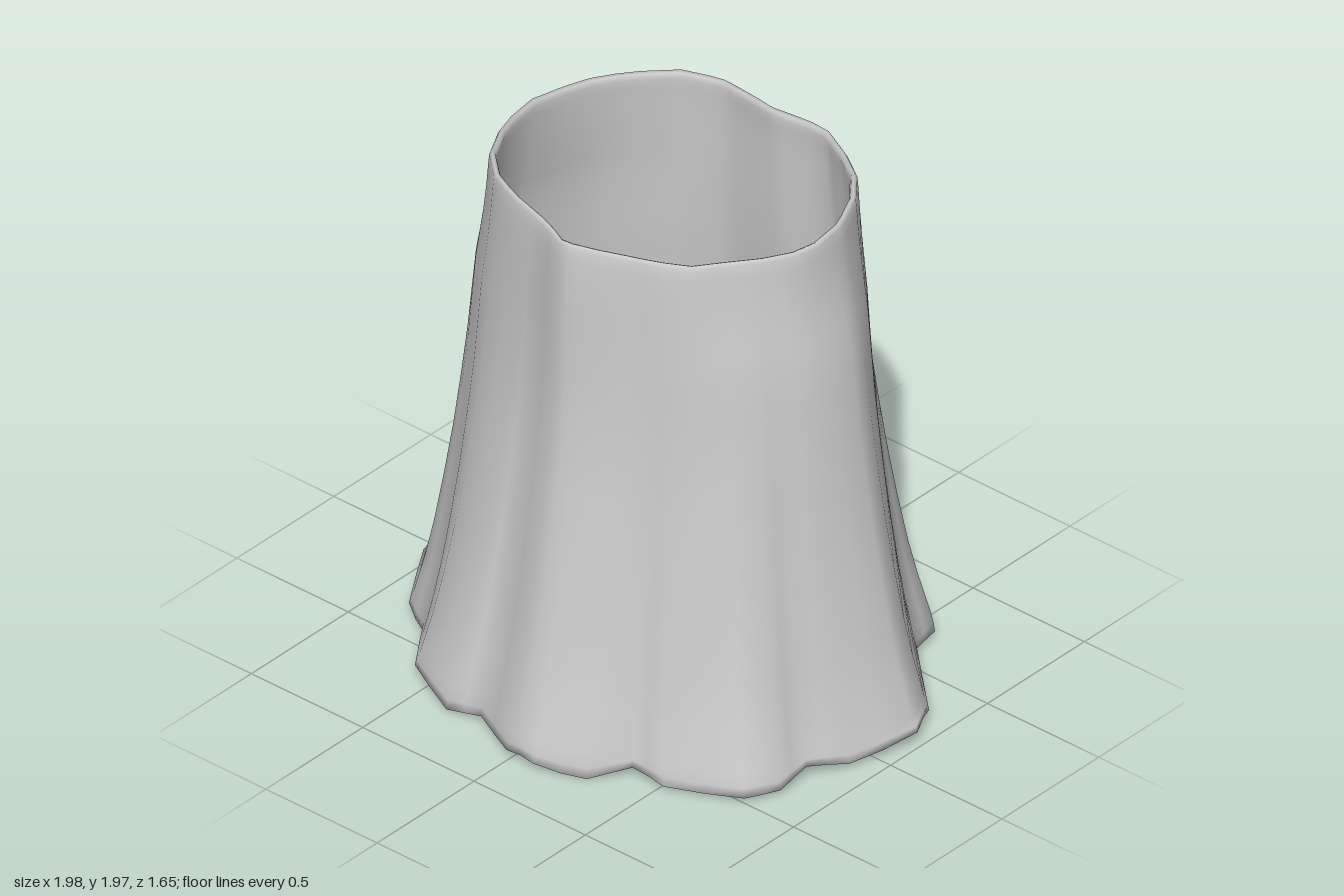
import * as THREE from 'three';

// Outlines as [x, z], running from +x towards the back (-z)
const HEM = [
  [0.99, -0.15], [0.92, -0.29], [0.63, -0.56], [0.59, -0.70], [0.48, -0.74], [0.34, -0.79],
  [0.10, -0.74], [0, -0.80], [-0.25, -0.83], [-0.32, -0.77], [-0.45, -0.69], [-0.57, -0.66],
  [-0.82, -0.53], [-0.90, -0.26], [-0.99, 0.13], [-0.84, 0.37], [-0.71, 0.45], [-0.57, 0.65],
  [-0.35, 0.74], [-0.22, 0.71], [-0.02, 0.81], [0.11, 0.82], [0.28, 0.74], [0.39, 0.63],
  [0.52, 0.62], [0.78, 0.50], [0.84, 0.38], [0.84, 0.25], [0.91, 0.11],
];
const WAIST = [
  [0.665, 0], [0.645, -0.15], [0.59, -0.29], [0.49, -0.42], [0.37, -0.50], [0.24, -0.565],
  [0.15, -0.57], [0, -0.55], [-0.13, -0.565], [-0.25, -0.57], [-0.39, -0.52], [-0.52, -0.39],
  [-0.60, -0.26], [-0.65, -0.10], [-0.665, 0], [-0.62, 0.16], [-0.55, 0.29], [-0.44, 0.39],
  [-0.31, 0.445], [-0.12, 0.50], [0, 0.555], [0.13, 0.515], [0.31, 0.445], [0.43, 0.39],
  [0.52, 0.27], [0.59, 0.18], [0.645, 0.08],
];

// Rows from hem to waist: height, then how far x and z follow the hem outline
const ROWS = [
  [0.10, 0.94, 0.95], [0.25, 0.81, 0.80], [0.4, 0.71, 0.66], [0.6, 0.60, 0.51], [0.8, 0.50, 0.38],
  [1.0, 0.42, 0.26], [1.2, 0.35, 0.15], [1.38, 0.29, 0.10], [1.52, 0.24, 0.07],
  [1.62, 0.17, 0.06], [1.72, 0.10, 0.05], [1.83, 0.04, 0.04], [1.91, 0.015, 0.02],
];

// Point where the ray from the centre through p meets a closed outline
function along(outline, [px, pz]) {
  for (let i = 0; i < outline.length; i++) {
    const [ax, az] = outline[i];
    const [bx, bz] = outline[(i + 1) % outline.length];
    const dx = bx - ax, dz = bz - az;
    const den = px * dz - pz * dx;
    const t = (ax * dz - az * dx) / den;
    const s = (ax * pz - az * px) / den;
    if (t > 0 && s >= -1e-6 && s <= 1 + 1e-6) return [px * t, pz * t];
  }
  return [px, pz];
}

export function createModel() {
  const group = new THREE.Group();
  group.name = 'skirt';

  // Two columns per hem edge, each paired with a waist point
  const columns = [];
  HEM.forEach(([x, z], i) => {
    const [nx, nz] = HEM[(i + 1) % HEM.length];
    for (const t of [0, 0.5]) {
      const hem = [x + (nx - x) * t, z + (nz - z) * t];
      columns.push({ hem, waist: along(WAIST, hem) });
    }
  });

  // Closed profile: outside up, over the rolled rim, inside down, under the hem
  const thick = 0.025;
  const profile = [
    [0, 1, 1, 0, 1], [0.04, 0.985, 0.985, 0, 0.7],
    ...ROWS.map((r) => [...r, 0, 0]),
    [1.955, 0, 0, 0, 0], [1.97, 0, 0, 0.009, 0], [1.965, 0, 0, 0.02, 0], [1.945, 0, 0, thick, 0],
    ...ROWS.slice().reverse().map((r) => [...r, thick, 0]),
    [0.04, 0.985, 0.985, thick, 0.7], [0.005, 1, 1, thick * 0.8, 1],
  ];

  const positions = [];
  const index = [];
  const n = columns.length, m = profile.length;
  profile.forEach(([y, wx, wz, inset, wave], r) => {
    columns.forEach(({ hem, waist }, c) => {
      const x = waist[0] + (hem[0] - waist[0]) * wx;
      const z = waist[1] + (hem[1] - waist[1]) * wz;
      const k = 1 - inset / Math.hypot(x, z);
      // Uneven lower edge, lifted at the two side points
      const a = (c / n) * Math.PI * 2;
      const lift = 0.022 + 0.012 * Math.sin(a * 9) + 0.01 * Math.sin(a * 14 + 1) + 0.025 * Math.cos(a) ** 8;
      positions.push(x * k, y + wave * lift, z * k);
      const c2 = (c + 1) % n, r2 = (r + 1) % m;
      const p = r * n + c, q = r * n + c2, s = r2 * n + c, t = r2 * n + c2;
      index.push(p, q, t, p, t, s);
    });
  });

  const geometry = new THREE.BufferGeometry();
  geometry.setAttribute('position', new THREE.Float32BufferAttribute(positions, 3));
  geometry.setIndex(index);
  geometry.computeVertexNormals();

  const cloth = new THREE.Mesh(geometry, new THREE.MeshStandardMaterial({ color: 0xcccccc }));
  cloth.name = 'pleatedCloth';
  group.add(cloth);
  return group;
}
